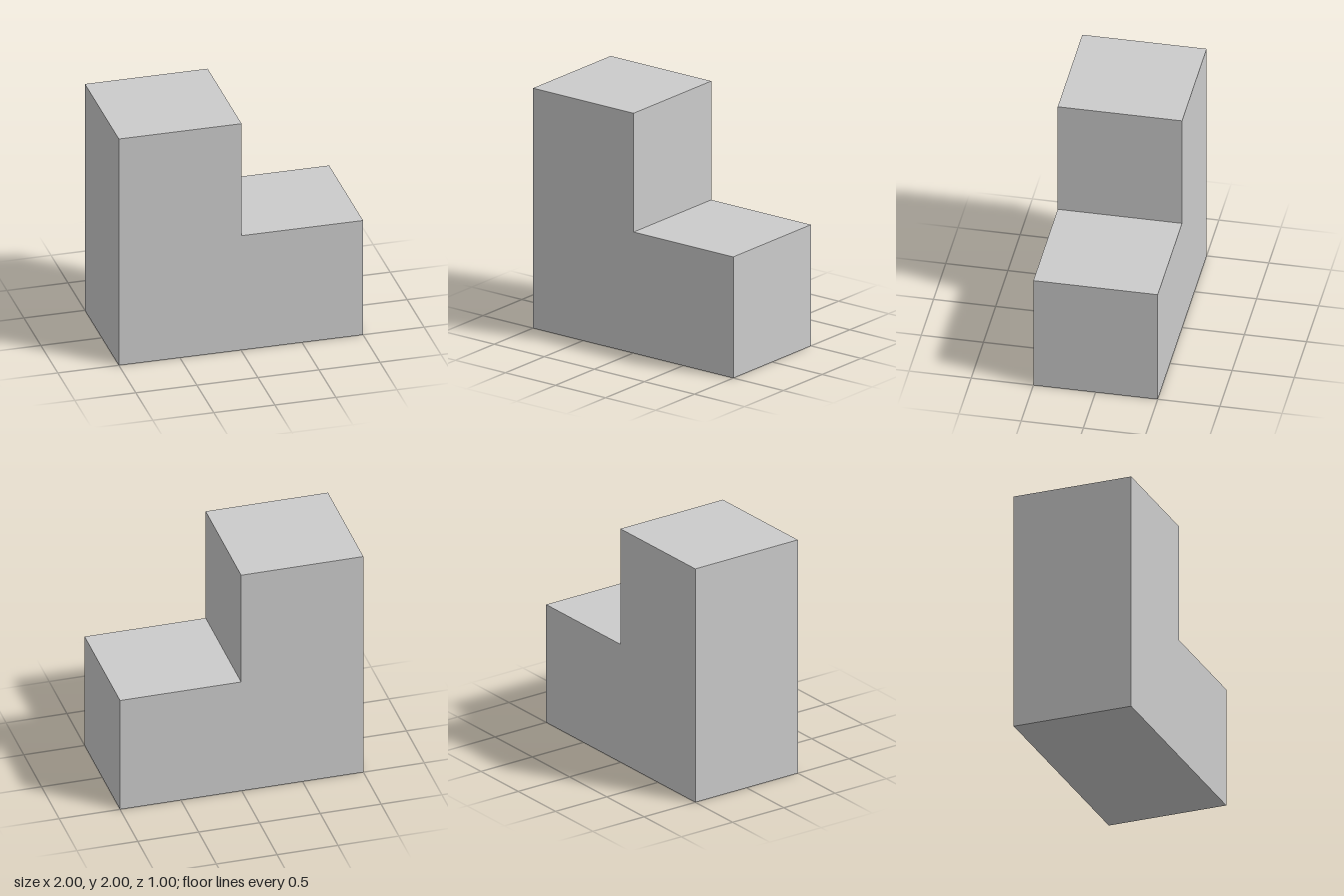
import * as THREE from 'three';

export function createModel() {
  const group = new THREE.Group();
  group.name = 'steppedBlock';

  // L-shaped side profile: tall half on the right, low step on the left
  const stepX = 0.005, stepY = 1.01, depth = 1;
  const profile = new THREE.Shape([
    [-1, 0], [1, 0], [1, stepY], [stepX, stepY], [stepX, 2], [-1, 2],
  ].map(([x, y]) => new THREE.Vector2(x, y)));

  // Extrude the profile and centre it in depth
  const geometry = new THREE.ExtrudeGeometry(profile, { depth, bevelEnabled: false });
  geometry.translate(0, 0, -depth / 2);

  const block = new THREE.Mesh(
    geometry,
    new THREE.MeshStandardMaterial({ color: 0xcccccc, flatShading: true }),
  );
  block.name = 'lShapedBlock';
  group.add(block);
  return group;
}
